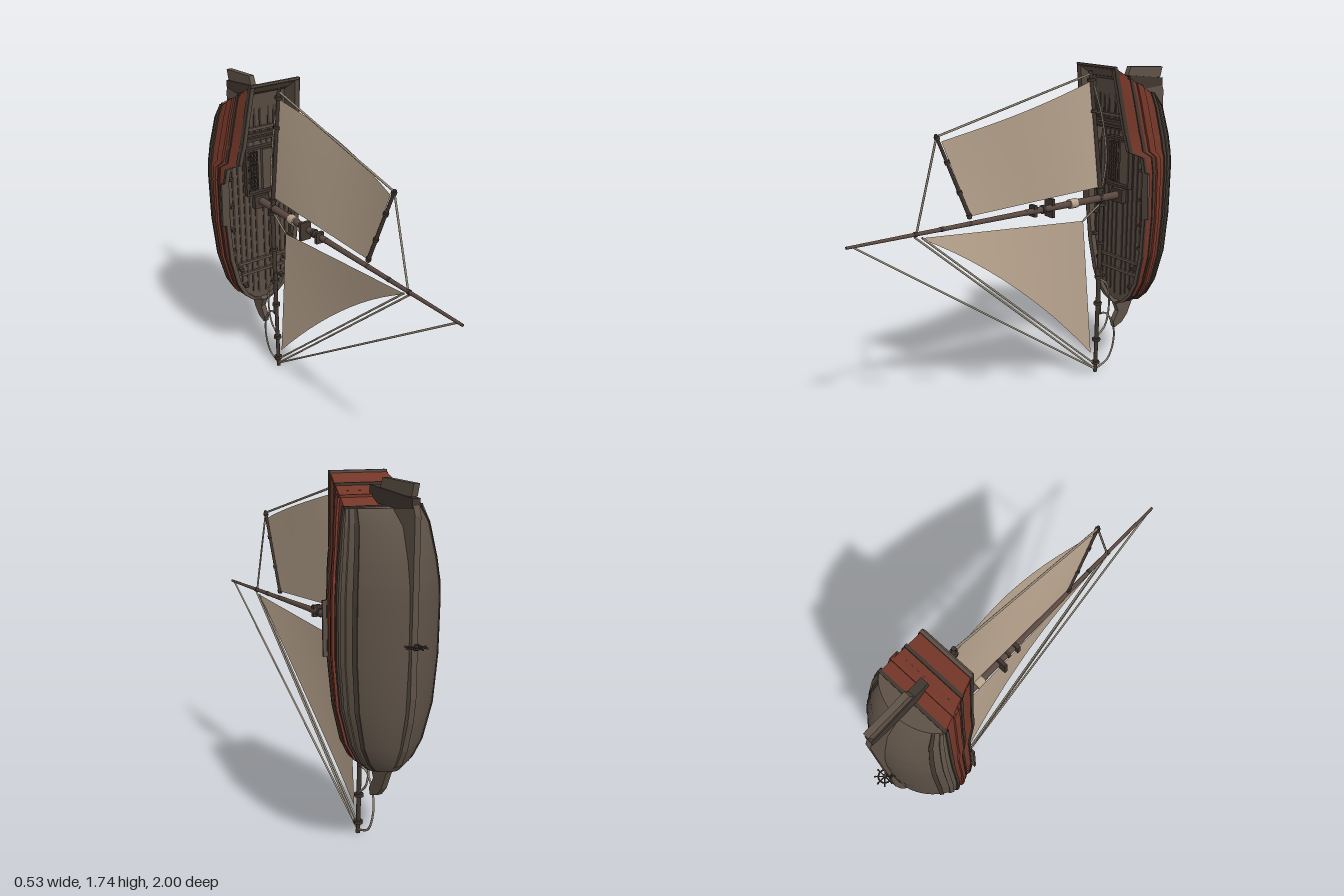
import * as THREE from 'three';

const mat = (name, color) => new THREE.MeshStandardMaterial({ name, color, side: THREE.DoubleSide });
const V = (x, y, z) => new THREE.Vector3(x, y, z);

// Hull stations: y at rail, y at wale, rail half-width, rail z, wale half-width, wale z, keel z, deck z
const ST = [
  [0.405, 0.41, 0.02, -0.625, 0.02, -0.72, -0.75, -0.65],
  [0.43, 0.43, 0.08, -0.625, 0.085, -0.725, -0.80, -0.65],
  [0.475, 0.475, 0.13, -0.625, 0.135, -0.725, -0.835, -0.65],
  [0.56, 0.56, 0.175, -0.625, 0.185, -0.725, -0.87, -0.65],
  [0.73, 0.73, 0.215, -0.62, 0.232, -0.725, -0.905, -0.65],
  [0.95, 0.95, 0.235, -0.61, 0.253, -0.725, -0.917, -0.65],
  [1.2, 1.2, 0.235, -0.60, 0.256, -0.725, -0.917, -0.65],
  [1.28, 1.28, 0.225, -0.59, 0.252, -0.723, -0.912, -0.65],
  [1.31, 1.31, 0.19, -0.525, 0.248, -0.72, -0.907, -0.65],
  [1.39, 1.38, 0.178, -0.512, 0.24, -0.713, -0.895, -0.65],
  [1.41, 1.4, 0.172, -0.508, 0.236, -0.71, -0.89, -0.58],
  [1.6, 1.53, 0.155, -0.475, 0.215, -0.69, -0.85, -0.57],
  [1.745, 1.6, 0.142, -0.45, 0.195, -0.675, -0.77, -0.56],
];
const LAST = ST[ST.length - 1];
const lerp = THREE.MathUtils.lerp;

// Point on the hull side: f 0 = rail, 1 = wale, 2 = keel
function hullPoint(s, f, out, side) {
  const [yr, yw, wr, zr, ww, zw, zk] = s;
  if (f <= 1) return V(side * (lerp(wr, ww, f) + out), lerp(yr, yw, f), lerp(zr, zw, f));
  const t = (f - 1) * Math.PI / 2, c = Math.max(0, Math.cos(t)), q = Math.sin(t);
  return V(side * (ww * c ** 1.1 + out * c), yw, zw + (zk - zw) * q ** 1.35 - out * q);
}

// Deck edge, following the rake of the stern
function deckPoint(s, inset, side) {
  const f = (s[3] - s[7]) / (s[3] - s[5]);
  return V(side * Math.max(0.005, s[2] - inset), lerp(s[0], s[1], f), s[7]);
}

// Surface through rows of points
function surface(rows, flat) {
  const n = rows[0].length, idx = [];
  for (let i = 0; i < rows.length - 1; i++)
    for (let j = 0; j < n - 1; j++) {
      const a = i * n + j, b = a + n;
      idx.push(a, b, a + 1, b, b + 1, a + 1);
    }
  let g = new THREE.BufferGeometry().setFromPoints(rows.flat());
  g.setIndex(idx);
  if (flat) g = g.toNonIndexed();
  g.computeVertexNormals();
  return g;
}

export function createModel() {
  const root = new THREE.Group();
  root.name = 'sailingShip';
  const hullM = mat('hull wood', 0x5e5247), deckM = mat('deck wood', 0x5a4d43), darkM = mat('dark wood', 0x40362f);
  const redM = mat('red paint', 0x733628), sailM = mat('sail cloth', 0xb8a48e), ropeM = mat('rope', 0x958a78);
  const sparM = mat('spar wood', 0x5a4840);

  const add = (name, g, m) => {
    const mesh = new THREE.Mesh(g, m);
    mesh.name = name;
    root.add(mesh);
    return mesh;
  };
  const box = (name, w, h, d, x, y, z, m) => add(name, new THREE.BoxGeometry(w, h, d), m).position.set(x, y, z);
  const spar = (name, a, b, r0, r1, m, sides = 10) => {
    const d = b.clone().sub(a);
    const mesh = add(name, new THREE.CylinderGeometry(r1, r0, d.length(), sides), m);
    mesh.position.copy(a).add(b).multiplyScalar(0.5);
    mesh.quaternion.setFromUnitVectors(V(0, 1, 0), d.normalize());
  };
  const rope = (name, pts) =>
    add(name, new THREE.TubeGeometry(new THREE.CatmullRomCurve3(pts), pts.length > 2 ? 24 : 1, 0.0055, 6), ropeM);
  // Collar around a spar at fraction t
  const collar = (name, a, b, t, r, len, m) => {
    const d = b.clone().sub(a).normalize().multiplyScalar(len / 2), c = a.clone().lerp(b, t);
    spar(name, c.clone().sub(d), c.clone().add(d), r, r, m, 8);
  };
  // Upright plate on the centre line, outline given as [z, y]
  const plate = (name, pts, t, m) => {
    const g = new THREE.ExtrudeGeometry(new THREE.Shape(pts.map(([z, y]) => new THREE.Vector2(-z, y))), { depth: t, bevelEnabled: false });
    add(name, g.translate(0, 0, -t / 2).rotateY(Math.PI / 2), m);
  };
  // Raised strake along both sides
  const strake = (name, f0, f1, out, m, from = 0, to = ST.length) => {
    for (const side of [-1, 1])
      add(name, surface(ST.slice(from, to).map(s =>
        [[f0, -0.002], [f0, out], [f1, out], [f1, -0.002]].map(([f, o]) => hullPoint(s, f, o, side))), true), m);
  };

  // Hull shell, red topsides and inner bulwarks
  const below = Array.from({ length: 11 }, (_, i) => 1 + i / 10);
  for (const side of [-1, 1]) {
    add('hullBottom', surface(ST.map(s => below.map(f => hullPoint(s, f, 0, side)))), hullM);
    add('topside', surface(ST.slice(2).map(s => [0, 0.5, 1].map(f => hullPoint(s, f, 0, side)))), redM);
    add('bowPlanking', surface(ST.slice(0, 3).map(s => [0, 0.5, 1].map(f => hullPoint(s, f, 0, side)))), darkM);
    add('bulwarkInside', surface(ST.map(s => [
      hullPoint(s, 0, 0.004, side),
      V(side * Math.max(0.005, s[2] - 0.022), s[0], s[3]),
      deckPoint(s, 0.022, side),
    ]), true), deckM);
  }
  add('deck', surface(ST.map(s => [deckPoint(s, 0, -1), deckPoint(s, 0, 1)]), true), deckM);

  // Strakes
  strake('capRail', -0.02, 0.08, 0.006, darkM);
  strake('upperStrake', 0.38, 0.46, 0.006, darkM);
  strake('redWale', 0.55, 0.72, 0.012, redM, 2);
  strake('lowerStrake', 0.94, 1.05, 0.009, darkM);
  strake('hullStrake', 1.14, 1.22, 0.007, hullM);
  strake('hullStrake', 1.32, 1.38, 0.005, darkM);
  strake('waistRail', -0.03, 0.06, 0.026, deckM, 5, 7);

  // Transom and bow closing faces
  const across = fs => surface(fs.map(f => [hullPoint(LAST, f, 0, -1), hullPoint(LAST, f, 0, 1)]), true);
  add('transom', across([0, 0.5, 1]), redM);
  add('transomLining', across([0, 0.5]), deckM).position.set(0, -0.005, 0.009);
  add('sternBottom', across(below), hullM);
  add('bowFace', surface([0, 1, 1.5, 2].map(f => [hullPoint(ST[0], f, 0, -1), hullPoint(ST[0], f, 0, 1)]), true), darkM);
  for (const f of [0.03, 0.38, 0.7, 1]) {
    const p = hullPoint(LAST, f, 0, 1);
    box('transomBeam', p.x * 2 + 0.01, 0.014, 0.016, 0, p.y, p.z, f === 0.7 ? redM : f === 0.03 ? deckM : darkM);
  }

  // Keel with curved stem, rudder
  plate('keelAndStem', [[-0.76, 1.59], [-0.8, 1.605], [-0.92, 1.62], [-0.935, 1.58], [-0.935, 0.8], [-0.92, 0.69], [-0.88, 0.55],
    [-0.84, 0.47], [-0.76, 0.41], [-0.72, 0.32], [-0.68, 0.275], [-0.625, 0.255], [-0.615, 0.29], [-0.65, 0.35], [-0.625, 0.405],
    [-0.7, 0.44], [-0.8, 0.52], [-0.87, 0.75], [-0.88, 1.35], [-0.83, 1.5]], 0.03, hullM);
  plate('rudderStock', [[-0.585, 1.62], [-0.59, 1.69], [-0.92, 1.65], [-0.92, 1.61], [-0.8, 1.60]], 0.04, darkM);
  plate('rudderBlade', [[-0.66, 1.665], [-0.685, 1.725], [-0.92, 1.71], [-0.905, 1.655]], 0.03, hullM);

  // Deck seams, beams and fittings
  for (const side of [-1, 1]) {
    for (const [x, y0, y1] of [[0.025, 0.45, 1.38], [0.06, 0.47, 1.38], [0.095, 0.5, 1.38], [0.13, 0.55, 1.38], [0.165, 0.62, 1.33], [0.195, 0.78, 1.26]])
      box('deckSeam', 0.012, y1 - y0, 0.006, side * x, (y0 + y1) / 2, -0.649, darkM);
    for (const x of [0.025, 0.06, 0.095, 0.122])
      box('quarterdeckSeam', 0.012, 0.22, 0.008, side * x, 1.555, -0.572, darkM);
    for (const [x, y] of [[0.12, 0.53], [0.145, 0.64], [0.185, 0.77], [0.185, 0.9], [0.185, 1.04], [0.185, 1.2]])
      box('cleat', 0.02, 0.016, 0.03, side * x, y, -0.635, darkM);
  }
  for (const [y, w, z, m] of [[0.67, 0.32, -0.645, deckM], [0.6, 0.28, -0.645, deckM], [1.42, 0.28, -0.572, darkM],
    [1.45, 0.28, -0.565, darkM], [1.48, 0.27, -0.57, deckM]])
    box('deckBeam', w, 0.016, 0.02, 0, y, z, m);

  // Hatch with lattice
  for (const x of [-0.085, 0.085]) box('hatchSide', 0.014, 0.27, 0.03, x, 1.215, -0.635, darkM);
  for (const y of [1.085, 1.345]) box('hatchEnd', 0.18, 0.014, 0.03, 0, y, -0.635, darkM);
  box('hatchCover', 0.06, 0.23, 0.02, 0.045, 1.215, -0.635, deckM);
  for (let i = 0; i < 4; i++) box('latticeBar', 0.006, 0.22, 0.012, -0.07 + i * 0.018, 1.215, -0.632, darkM);
  for (let i = 0; i < 9; i++) box('latticeBar', 0.062, 0.006, 0.012, -0.043, 1.115 + i * 0.025, -0.632, darkM);

  // Mast with steps and bands
  box('mastStep', 0.09, 0.075, 0.03, 0, 1.03, -0.635, darkM);
  const mA = V(0, 1.033, -0.65), mB = V(0, 1.033, 0.0), mC = V(0, 1.033, 1);
  spar('lowerMast', mA, mB, 0.022, 0.016, sparM, 12);
  spar('topMast', mB, mC, 0.015, 0.007, sparM, 10);
  collar('mastBand', V(0, 1.033, -0.335), V(0, 1.033, -0.285), 0.5, 0.027, 0.05, sailM);
  box('mastTop', 0.065, 0.1, 0.018, -0.018, 1.03, -0.17, darkM);
  box('mastCap', 0.045, 0.06, 0.02, -0.008, 1.033, -0.055, darkM);
  for (const z of [-0.5, -0.11, 0.34, 0.5, 0.645]) collar('mastCollar', V(0, 1.033, z - 0.01), V(0, 1.033, z + 0.01), 0.5, z < 0 ? 0.024 : 0.013, 0.016, darkM);

  // Bowsprit, boom and gaff
  const spars = [
    ['bowsprit', V(0, 1.05, -0.515), V(0, 0.01, -0.497), 0.013, 0.011, 0.01, [0.05, 0.26, 0.45, 0.6, 0.81, 0.945]],
    ['boom', V(0, 1.05, -0.505), V(0, 1.72, -0.415), 0.014, 0.011, 0.007, [0.05, 0.69, 0.93]],
    ['gaff', V(0, 1.06, 0.338), V(0, 1.49, 0.52), 0.01, 0.008, 0.004, [0.03, 0.32, 0.68, 0.96]],
  ];
  for (const [name, a, b, r0, r1, lip, ts] of spars) {
    spar(name, a, b, r0, r1, darkM);
    for (const t of ts) collar(name + 'Collar', a, b, t, r0 + lip, 0.016, darkM);
  }
  spar('bowspritHeel', V(0, 0.36, -0.517), V(0, 0.64, -0.495), 0.012, 0.011, darkM);

  // Billowing sails
  const sail = (name, fn, n = 12) => add(name, surface(Array.from({ length: n + 1 }, (_, i) =>
    Array.from({ length: n + 1 }, (_, j) => fn(i / n, j / n)))), sailM);
  const A = V(0, 1.455, 0.49), B = V(0, 1.665, -0.415), C = V(0, 1.095, -0.505), D = V(0, 1.07, 0.335);
  sail('mainSail', (u, v) => {
    const p = A.clone().lerp(B, u).lerp(D.clone().lerp(C, u), v);
    p.x = 0.05 * Math.sin(Math.PI * u) * (1 - v);
    return p;
  });
  const head = V(0, 1.01, 0.62), clew = V(0, 0.925, -0.385), tack = V(0, 0.135, -0.46);
  sail('jib', (u, v) => {
    const p = head.clone().lerp(clew.clone().lerp(tack, v), u);
    p.y += 0.3 * v * u * (1 - u);
    p.x = 0.027 * Math.sin(Math.PI * u) * v;
    return p;
  });

  // Rigging
  const tip = V(0, 0.025, -0.497);
  rope('foreStay', [V(0, 1.033, 0.97), tip]);
  rope('jibStay', [V(0, 1.02, 0.65), tip]);
  rope('jibHalyard', [V(0, 1.01, 0.61), V(0, 0.06, -0.49)]);
  rope('topLift', [V(0, 1.48, 0.515), V(0, 1.705, -0.42)]);
  rope('gaffLift', [V(0, 1.033, 0.64), V(0, 1.48, 0.515)]);
  rope('jibSheet', [clew, V(0, 1.0, -0.5)]);
  rope('mainSheet', [V(0, 1.68, -0.43), V(0.01, 1.45, -0.5), V(0.01, 1.25, -0.53), V(0, 1.08, -0.515)]);
  rope('bowLoop', [V(0, 0.57, -0.51), V(0, 0.53, -0.565), V(0, 0.42, -0.59), V(0, 0.28, -0.565), V(0, 0.22, -0.5)]);
  rope('bobStay', [V(0, 0.36, -0.51), V(0, 0.35, -0.57), V(0, 0.22, -0.635), V(0, 0.07, -0.595), V(0, 0.025, -0.5)]);

  // Steering wheel
  const wheel = V(0, 1.033, -0.948);
  add('wheelRim', new THREE.TorusGeometry(0.031, 0.004, 6, 20).rotateX(Math.PI / 2), darkM).position.copy(wheel);
  spar('wheelHub', V(0, 1.02, -0.948), V(0, 1.045, -0.948), 0.009, 0.009, darkM);
  for (let i = 0; i < 8; i++) {
    const a = i * Math.PI / 4, d = V(Math.cos(a), 0, Math.sin(a));
    spar('wheelSpoke', wheel, wheel.clone().addScaledVector(d, 0.05), 0.003, 0.003, darkM, 6);
    add('wheelHandle', new THREE.SphereGeometry(0.005, 8, 6), darkM).position.copy(wheel).addScaledVector(d, 0.046);
  }
  return root;
}
